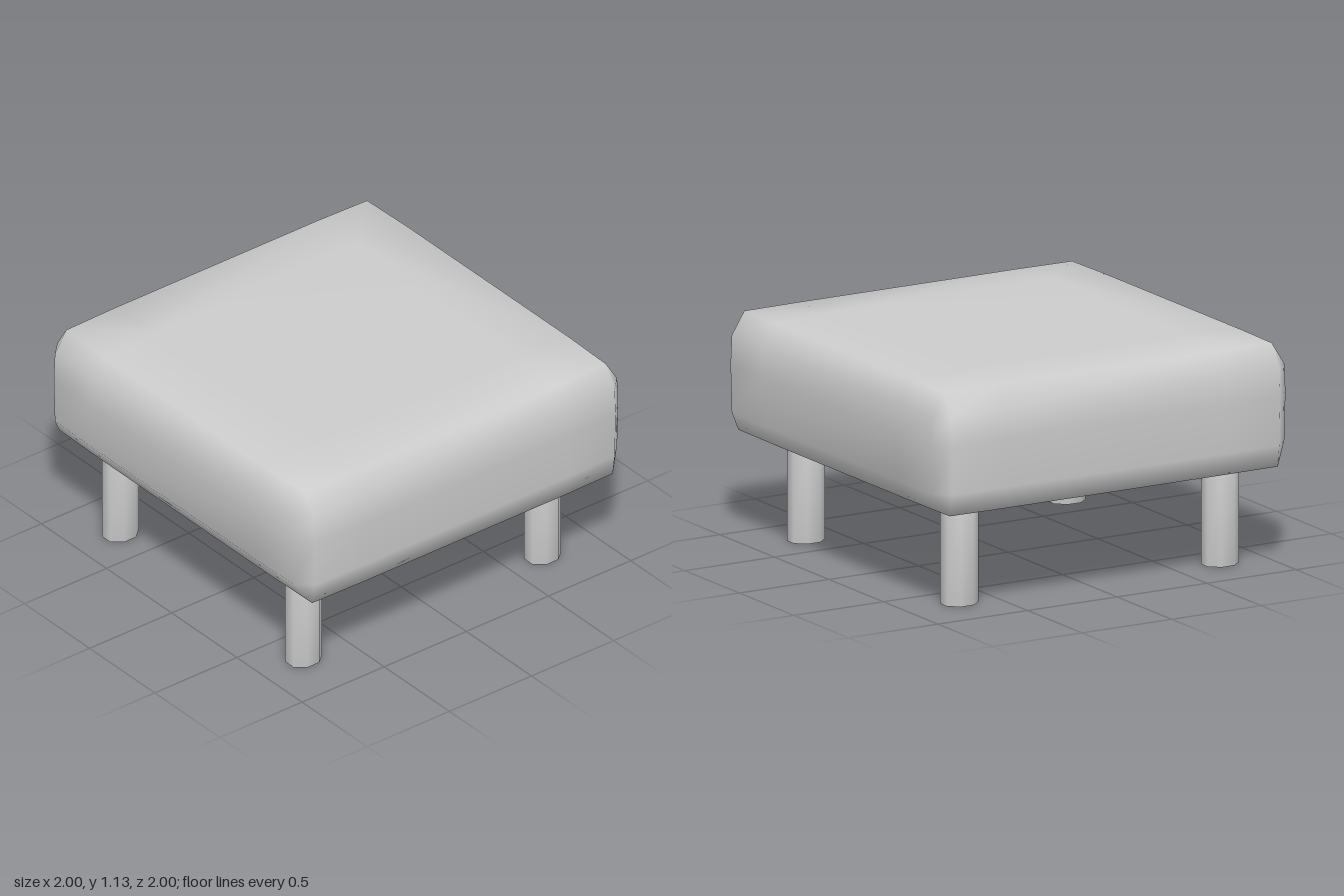
import * as THREE from 'three';
import { mergeVertices } from 'three/addons/utils/BufferGeometryUtils.js';

// Weld coincident corners and shade smoothly across them
function smooth(geometry) {
  geometry.deleteAttribute('uv');
  geometry.deleteAttribute('normal');
  const welded = mergeVertices(geometry, 1e-4);
  welded.computeVertexNormals();
  return welded;
}

// One horizontal section: 16 points, chamfered corners, slightly bulging sides
function ring({ y, hx, hz, cut, bulge }) {
  const m = 0.62;
  const x = hx - cut, z = hz - cut;
  const bx = hx + bulge, bz = hz + bulge;
  const points = [
    [-x, hz], [-m, bz], [m, bz], [x, hz],
    [hx, z], [bx, m], [bx, -m], [hx, -z],
    [x, -hz], [m, -bz], [-m, -bz], [-x, -hz],
    [-hx, -z], [-bx, -m], [-bx, m], [-hx, z],
  ];
  return points.map(([px, pz]) => new THREE.Vector3(px, y, pz));
}

function cushionGeometry() {
  const rings = [
    { y: 0.495, hx: 0.62, hz: 0.62, cut: 0, bulge: 0 },
    { y: 0.513, hx: 0.97, hz: 0.915, cut: 0, bulge: 0.005 },
    { y: 0.62, hx: 0.985, hz: 0.985, cut: 0.07, bulge: 0.005 },
    { y: 0.86, hx: 0.992, hz: 0.992, cut: 0.077, bulge: 0.008 },
    { y: 1.0, hx: 0.985, hz: 0.985, cut: 0.07, bulge: 0.005 },
    { y: 1.11, hx: 0.915, hz: 0.915, cut: 0, bulge: 0.008 },
    { y: 1.127, hx: 0.62, hz: 0.62, cut: 0, bulge: 0 },
  ].map(ring);

  const positions = [];
  const triangle = (a, b, c) => {
    if (new THREE.Triangle(a, b, c).getArea() < 1e-7) return;
    for (const v of [a, b, c]) positions.push(v.x, v.y, v.z);
  };
  const quad = (a, b, c, d) => { triangle(a, b, c); triangle(a, c, d); };

  // Skin between neighbouring sections
  for (let r = 0; r < rings.length - 1; r++) {
    const low = rings[r], high = rings[r + 1];
    for (let i = 0; i < 16; i++) {
      const j = (i + 1) % 16;
      quad(low[i], low[j], high[j], high[i]);
    }
  }
  // Flat centres of the underside and the seat
  const bottom = rings[0], top = rings[rings.length - 1];
  quad(bottom[0], bottom[12], bottom[8], bottom[4]);
  quad(top[0], top[4], top[8], top[12]);

  const geometry = new THREE.BufferGeometry();
  geometry.setAttribute('position', new THREE.Float32BufferAttribute(positions, 3));
  return smooth(geometry);
}

// Eight-sided leg with sides facing the axes, a little deeper than wide
function legGeometry(width, depth, height) {
  const radius = 0.5 / Math.cos(Math.PI / 8);
  const geometry = new THREE.CylinderGeometry(radius, radius, height, 8);
  geometry.rotateY(Math.PI / 8);
  geometry.scale(width, 1, depth);
  geometry.translate(0, height / 2, 0);
  return smooth(geometry);
}

export function createModel() {
  const group = new THREE.Group();
  group.name = 'footstool';
  const material = new THREE.MeshStandardMaterial({ color: 0xcccccc });

  const cushion = new THREE.Mesh(cushionGeometry(), material);
  cushion.name = 'cushion';
  group.add(cushion);

  const leg = legGeometry(0.15, 0.175, 0.53);
  for (const [sideName, x] of [['Left', 0.703], ['Right', -0.703]]) {
    for (const [endName, z] of [['front', 0.755], ['back', -0.7]]) {
      const mesh = new THREE.Mesh(leg, material);
      mesh.name = `${endName}${sideName}Leg`;
      mesh.position.set(x, 0, z);
      group.add(mesh);
    }
  }
  return group;
}
